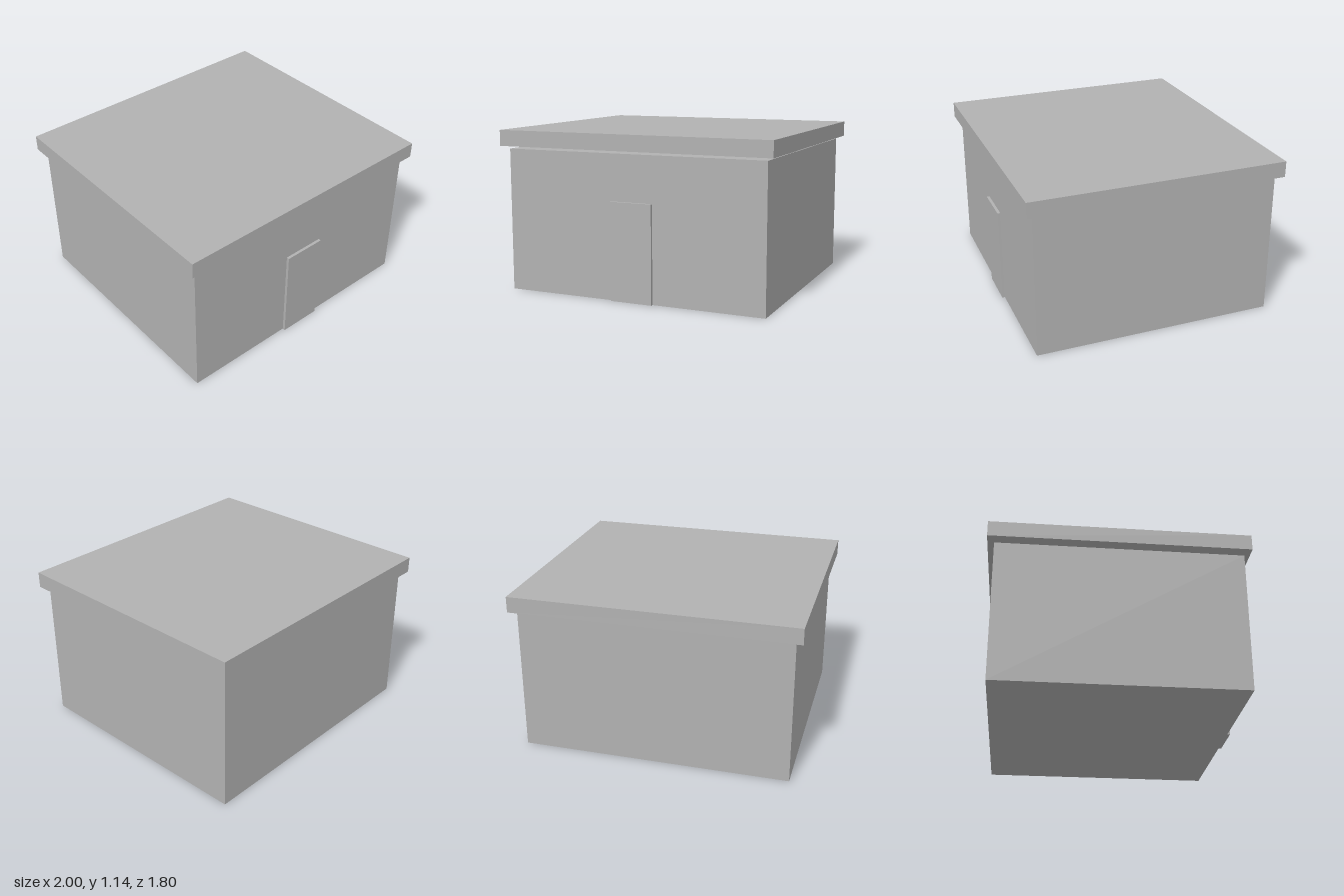
import * as THREE from 'three';

export function createModel() {
  const model = new THREE.Group();
  model.name = 'building';

  const grey = new THREE.MeshStandardMaterial({ color: 0xb2b2b2 });
  grey.name = 'plain grey';

  // Box given by its size, the height of its underside and its z centre
  const addBox = (name, width, height, depth, bottom, z = 0) => {
    const mesh = new THREE.Mesh(new THREE.BoxGeometry(width, height, depth), grey);
    mesh.name = name;
    mesh.position.set(0, bottom + height / 2, z);
    model.add(mesh);
  };

  const wallDepth = 1.71;
  const doorDepth = 0.02;

  // Solid wall block
  addBox('walls', 1.9, 1.01, wallDepth, 0);

  // Overhanging flat roof, held just clear of the walls
  addBox('roof', 2, 0.112, 1.804, 1.031);

  // Door slab standing proud of the front wall
  addBox('door', 0.304, 0.686, doorDepth, 0, wallDepth / 2 + doorDepth / 2);

  return model;
}
